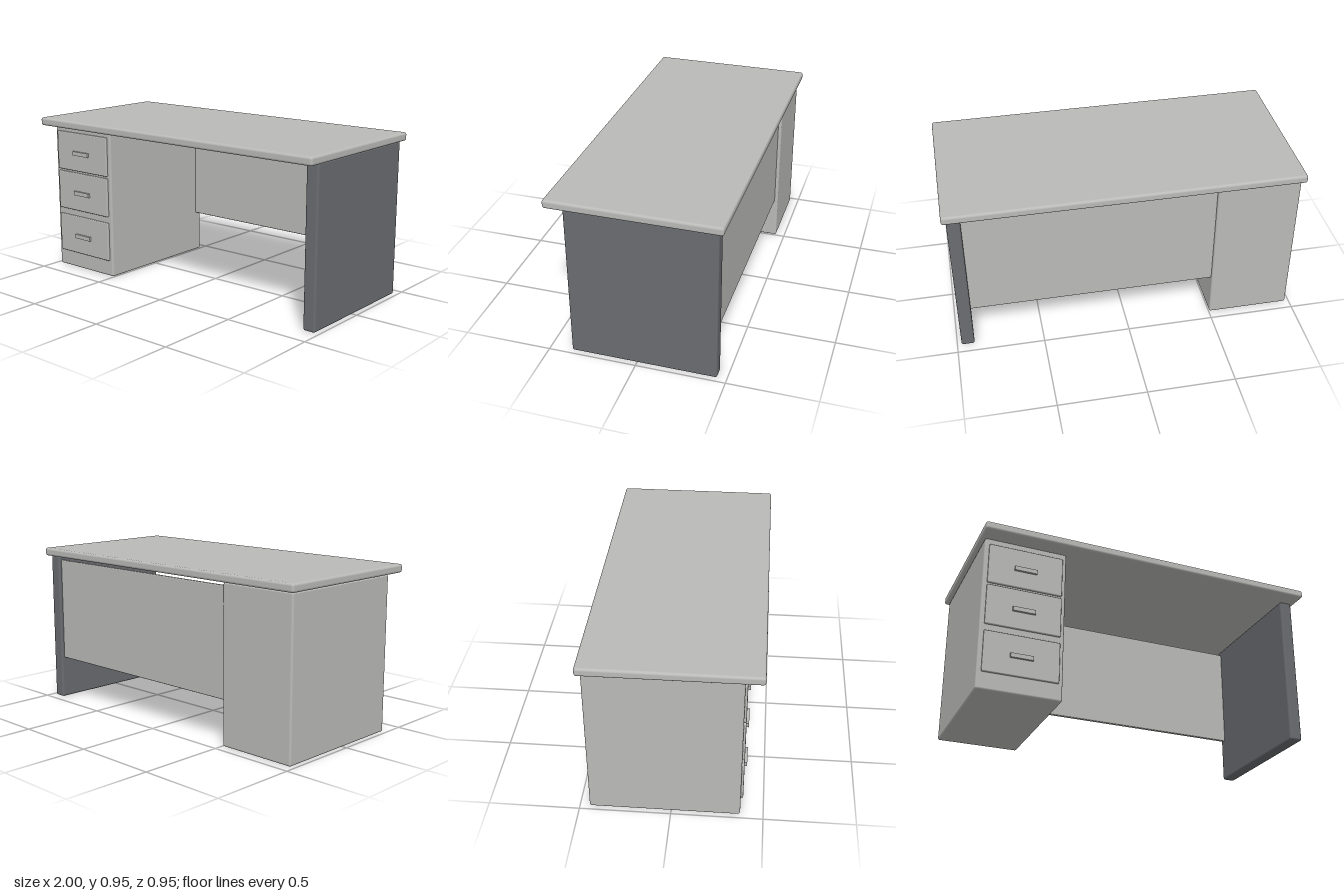
import * as THREE from 'three';
import { RoundedBoxGeometry } from 'three/addons/geometries/RoundedBoxGeometry.js';

export function createModel() {
  const desk = new THREE.Group();
  desk.name = 'desk';

  const lightGrey = new THREE.MeshStandardMaterial({ color: 0xbababa });
  lightGrey.name = 'lightGrey';
  lightGrey.color.set(0xbabab8);
  const darkGrey = new THREE.MeshStandardMaterial({ color: 0x6a6c70 });
  darkGrey.name = 'darkGrey';

  // Box given by its lower and upper corners; radius 0 keeps sharp edges
  function slab(name, material, [x0, y0, z0], [x1, y1, z1], radius, parent = desk) {
    const size = [x1 - x0, y1 - y0, z1 - z0];
    const geometry = radius > 0
      ? new RoundedBoxGeometry(...size, 3, radius)
      : new THREE.BoxGeometry(...size);
    const mesh = new THREE.Mesh(geometry, material);
    mesh.name = name;
    mesh.position.set((x0 + x1) / 2, (y0 + y1) / 2, (z0 + z1) / 2);
    parent.add(mesh);
    return mesh;
  }

  // Main carcass
  slab('desktop', lightGrey, [-1, 0.905, -0.475], [1, 0.953, 0.475], 0.014);
  slab('drawerCabinet', lightGrey, [-0.977, 0.003, -0.447], [-0.503, 0.905, 0.375], 0.012);
  slab('sidePanel', darkGrey, [0.9, 0.003, -0.447], [0.975, 0.905, 0.375], 0.012);
  slab('backPanel', lightGrey, [-0.51, 0.257, -0.427], [0.905, 0.88, -0.402], 0.006);

  // Three drawer fronts, each with a small bar handle
  [0.747, 0.497, 0.221].forEach((y, i) => {
    const drawer = new THREE.Group();
    drawer.name = `drawer${i + 1}`;
    desk.add(drawer);
    slab('drawerFront', lightGrey, [-0.952, y - 0.119, 0.372], [-0.527, y + 0.119, 0.388], 0.006, drawer);
    slab('drawerHandle', lightGrey, [-0.805, y - 0.019, 0.385], [-0.677, y + 0.006, 0.401], 0, drawer);
  });

  return desk;
}
